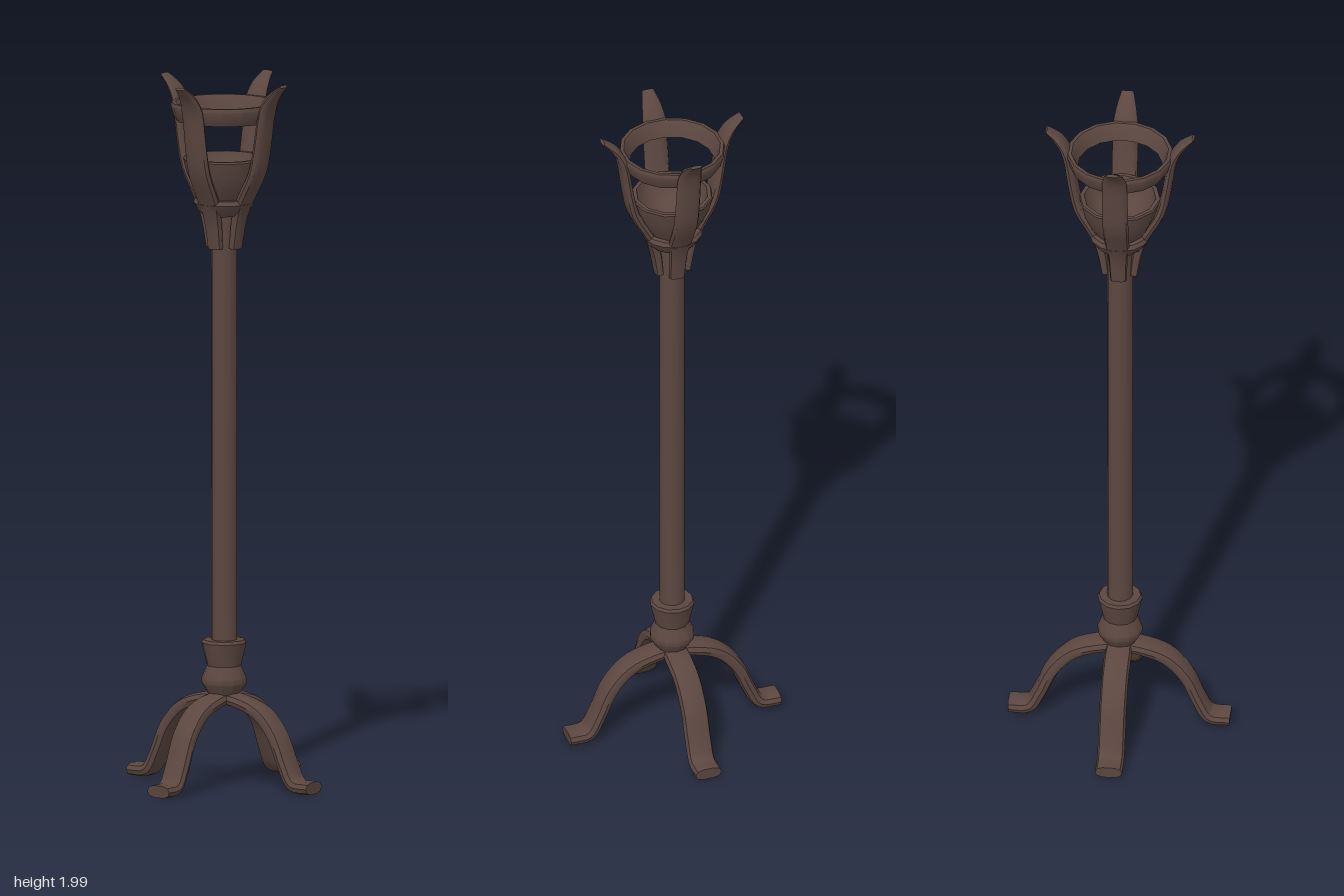
import * as THREE from 'three';
import { toCreasedNormals } from 'three/addons/utils/BufferGeometryUtils.js';

const SIDES = 10;

// Sweeps a rounded bar along a path in the xy plane.
// Each station is [x, y, thickness, width].
function sweptBar(stations, steps) {
  const curve = new THREE.CatmullRomCurve3(stations.map(([x, y]) => new THREE.Vector3(x, y, 0)));
  const pos = [], index = [];
  for (let i = 0; i <= steps; i++) {
    const u = i / steps, p = curve.getPoint(u), t = curve.getTangent(u);
    const f = u * (stations.length - 1), k = Math.min(Math.floor(f), stations.length - 2);
    const thick = THREE.MathUtils.lerp(stations[k][2], stations[k + 1][2], f - k) / 2;
    const width = THREE.MathUtils.lerp(stations[k][3], stations[k + 1][3], f - k) / 2;
    for (let j = 0; j < SIDES; j++) {
      const a = ((j + 0.5) / SIDES) * Math.PI * 2;
      // Squared-off oval section
      const c = Math.sign(Math.cos(a)) * Math.abs(Math.cos(a)) ** 0.75 * thick;
      const s = Math.sign(Math.sin(a)) * Math.abs(Math.sin(a)) ** 0.75 * width;
      pos.push(p.x - t.y * c, p.y + t.x * c, s);
    }
  }
  for (let i = 0; i < steps; i++) {
    for (let j = 0; j < SIDES; j++) {
      const a = i * SIDES + j, b = i * SIDES + (j + 1) % SIDES;
      index.push(a, b, a + SIDES, b, b + SIDES, a + SIDES);
    }
  }
  // End caps
  const last = steps * SIDES;
  for (let j = 1; j < SIDES - 1; j++) {
    index.push(0, j + 1, j, last, last + j, last + j + 1);
  }
  const geo = new THREE.BufferGeometry();
  geo.setAttribute('position', new THREE.Float32BufferAttribute(pos, 3));
  geo.setIndex(index);
  return toCreasedNormals(geo, 0.8);
}

function turned(profile, sides, phase = 0) {
  const points = profile.map(([r, y]) => new THREE.Vector2(r, y));
  return toCreasedNormals(new THREE.LatheGeometry(points, sides, phase), 0.6);
}

export function createModel() {
  const model = new THREE.Group();
  model.name = 'standingTorch';
  const iron = new THREE.MeshStandardMaterial({ color: 0x5c4740 });
  iron.name = 'darkBrownIron';

  const add = (name, geo, turn = 0) => {
    const mesh = new THREE.Mesh(geo, iron);
    mesh.name = name;
    mesh.rotation.y = turn;
    model.add(mesh);
  };

  // Pole and the flared collar above the legs
  add('pole', turned([[0, 0.25], [0.036, 0.25], [0.036, 1.66], [0, 1.66]], 12));
  add('baseCollar', turned([
    [0, 0.25], [0.038, 0.255], [0.063, 0.295], [0.063, 0.31], [0.048, 0.345],
    [0.056, 0.38], [0.063, 0.41], [0.058, 0.418], [0, 0.418],
  ], 12));

  // Ring binding the prongs, below the bowl
  add('bindingRing', turned([
    [0.03, 1.615], [0.062, 1.618], [0.076, 1.633], [0.086, 1.652], [0.08, 1.664], [0.03, 1.668],
  ], 16, Math.PI / 16));

  // Hollow bowl: up the outside, over the rim, down the inside
  add('bowl', turned([
    [0, 1.64], [0.055, 1.645], [0.085, 1.69], [0.105, 1.735], [0.115, 1.775], [0.112, 1.78],
    [0.101, 1.78], [0.09, 1.745], [0.065, 1.715], [0.035, 1.7], [0, 1.695],
  ], 12));

  // Upper hoop, leaning outwards
  add('upperHoop', turned([
    [0.118, 1.888], [0.134, 1.884], [0.141, 1.895], [0.149, 1.925], [0.146, 1.935],
    [0.136, 1.935], [0.13, 1.925], [0.118, 1.888],
  ], 16, Math.PI / 16));

  // Four curved legs and four flaring prongs
  const leg = sweptBar([
    [0, 0.255, 0.036, 0.07], [0.06, 0.248, 0.038, 0.076], [0.13, 0.222, 0.04, 0.076],
    [0.185, 0.163, 0.04, 0.076], [0.22, 0.085, 0.038, 0.076],
    [0.252, 0.031, 0.038, 0.076], [0.31, 0.026, 0.036, 0.076],
  ], 24);
  const prong = sweptBar([
    [0.04, 1.525, 0.024, 0.046], [0.053, 1.61, 0.03, 0.054], [0.074, 1.665, 0.03, 0.068],
    [0.116, 1.745, 0.028, 0.072], [0.134, 1.83, 0.026, 0.072], [0.15, 1.925, 0.025, 0.07],
    [0.172, 1.965, 0.02, 0.056], [0.206, 1.996, 0.009, 0.034],
  ], 21);
  for (let i = 0; i < 4; i++) {
    add('leg', leg, i * Math.PI / 2);
    add('prong', prong, i * Math.PI / 2);
  }
  return model;
}
